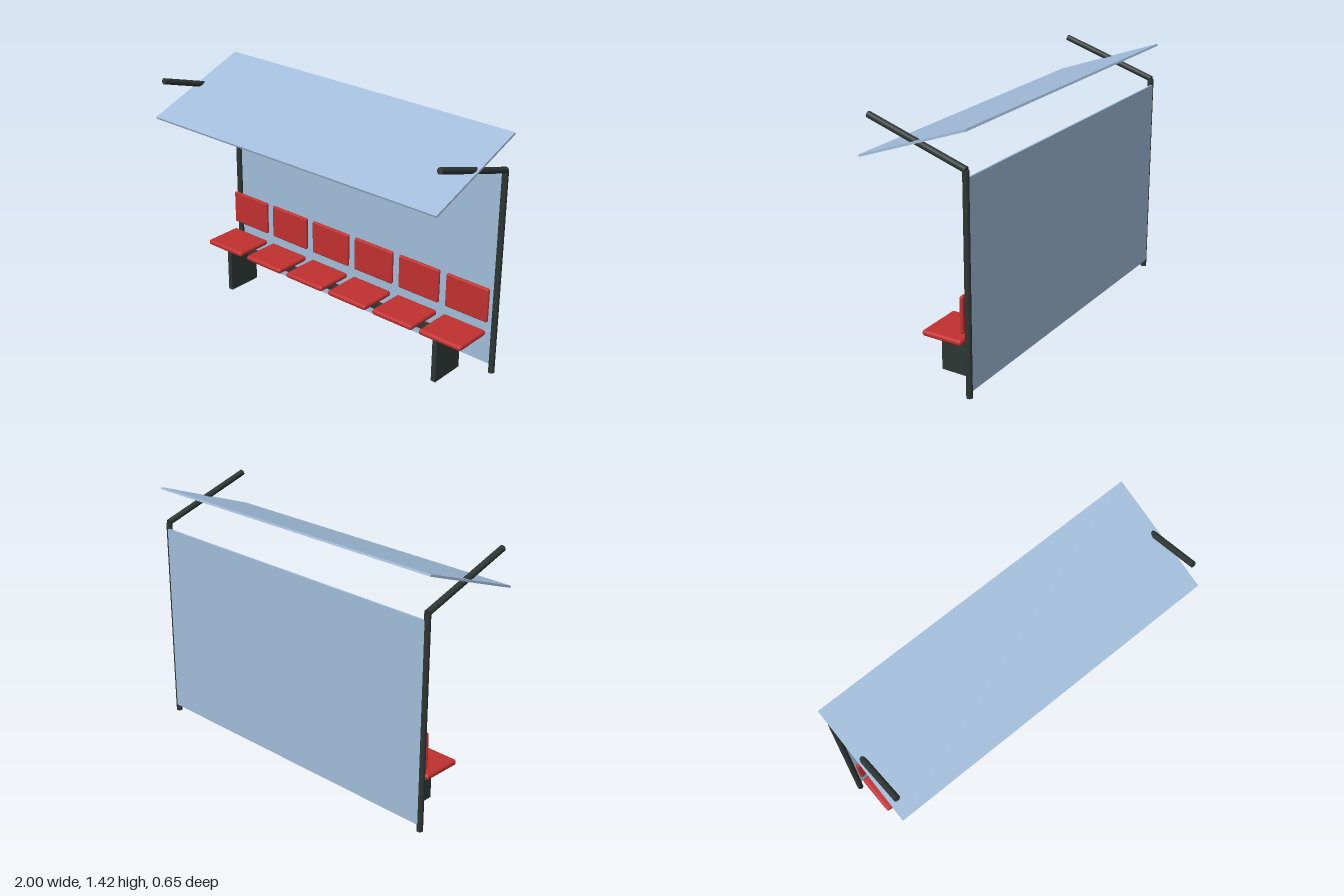
import * as THREE from 'three';
import { RoundedBoxGeometry } from 'three/addons/geometries/RoundedBoxGeometry.js';

function material(name, color) {
  const m = new THREE.MeshStandardMaterial({ color });
  m.name = name;
  return m;
}

export function createModel() {
  const steel = material('dark steel', 0x2d3634);
  const red = material('red seat', 0xc23030);
  const glass = material('blue glass', 0xa2bddb);

  const model = new THREE.Group();
  model.name = 'benchShelter';

  function add(name, geometry, mat, x, y, z, parent = model) {
    const mesh = new THREE.Mesh(geometry, mat);
    mesh.name = name;
    mesh.position.set(x, y, z);
    parent.add(mesh);
    return mesh;
  }

  // Round bar between two points
  function bar(name, from, to, radius) {
    const dir = to.clone().sub(from);
    const mid = from.clone().add(to).multiplyScalar(0.5);
    const mesh = add(name, new THREE.CylinderGeometry(radius, radius, dir.length(), 24), steel, mid.x, mid.y, mid.z);
    mesh.quaternion.setFromUnitVectors(new THREE.Vector3(0, 1, 0), dir.normalize());
  }

  // Posts, roof arms and bench legs, one of each per side
  for (const [side, s] of [['left', 1], ['right', -1]]) {
    const x = 0.972 * s;
    bar(side + 'Post', new THREE.Vector3(x, 0, -0.3), new THREE.Vector3(x, 1.212, -0.3), 0.0175);
    bar(side + 'RoofArm', new THREE.Vector3(x, 1.215, -0.303), new THREE.Vector3(x, 1.396, 0.273), 0.0175);
    add(side + 'BenchLeg', new THREE.BoxGeometry(0.03, 0.26, 0.217), steel, 0.787 * s, 0.13, -0.118);
  }

  // Tilted roof pane, low at the front
  const roof = add('roof', new THREE.BoxGeometry(2, 0.012, 0.688), glass, 0, 1.3, 0);
  roof.rotation.x = 0.353;

  // Back pane fixed behind the posts
  add('backPane', new THREE.BoxGeometry(1.944, 1.14, 0.01), glass, 0, 0.61, -0.312);

  // Rail carrying the seats
  add('seatRail', new THREE.BoxGeometry(1.82, 0.034, 0.035), steel, 0, 0.246, -0.118);

  // Row of six seats
  const cushion = new RoundedBoxGeometry(0.28, 0.033, 0.24, 4, 0.015);
  const backrest = new RoundedBoxGeometry(0.28, 0.205, 0.022, 4, 0.01);
  for (let i = 0; i < 6; i++) {
    const seat = new THREE.Group();
    seat.name = 'seat' + (i + 1);
    seat.position.x = (i - 2.5) * 0.328;
    add('cushion', cushion, red, 0, 0.276, -0.119, seat);
    add('backrest', backrest, red, 0, 0.438, -0.246, seat);
    model.add(seat);
  }

  return model;
}
